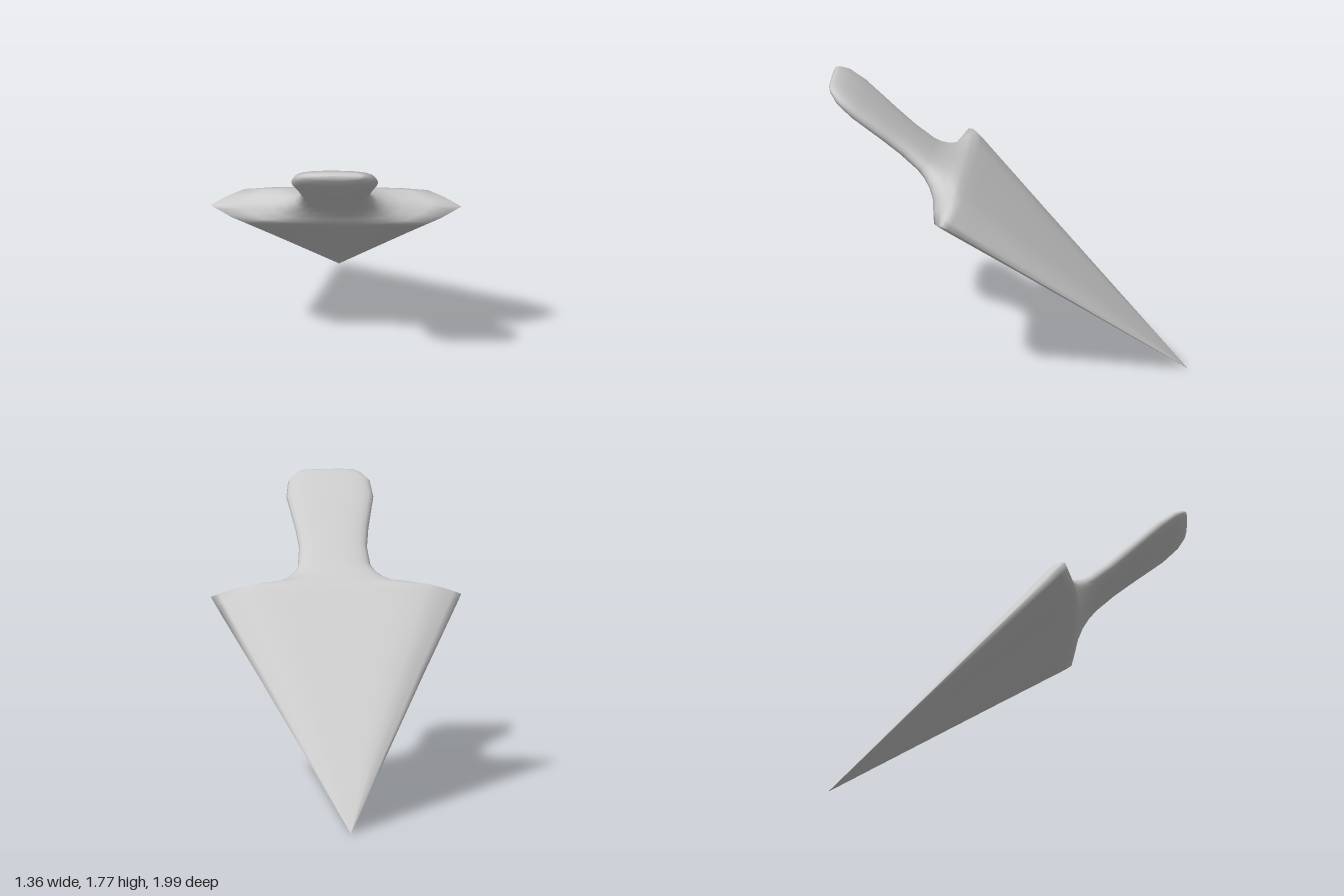
import * as THREE from 'three';

// Half cross-sections as [fraction of half width, fraction of half thickness]
const BLADE = [[1, 0], [0.94, 0.23], [0.86, 0.52], [0.73, 0.87], [0.5, 0.97], [0.25, 0.99], [0, 1]];
const GRIP = [[1, 0], [0.97, 0.32], [0.9, 0.56], [0.77, 0.78], [0.53, 0.93], [0.25, 0.99], [0, 1]];

// Mirrors a half cross-section into a closed ring running from +x towards +z
function ring(y, halfWidth, halfDepth, round) {
  const quarter = BLADE.map(([s, t], i) => [
    halfWidth * THREE.MathUtils.lerp(s, GRIP[i][0], round),
    halfDepth * THREE.MathUtils.lerp(t, GRIP[i][1], round),
  ]);
  const n = quarter.length - 1;
  const points = [];
  for (let i = 0; i < 4 * n; i++) {
    const q = Math.floor(i / n), k = i % n;
    const [x, z] = quarter[q % 2 ? n - k : k];
    points.push(new THREE.Vector3(q === 1 || q === 2 ? -x : x, y, q < 2 ? z : -z));
  }
  return points;
}

// Skins a stack of rings, listed from bottom to top
function loft(rings) {
  const count = rings[0].length;
  const positions = rings.flat().flatMap((p) => [p.x, p.y, p.z]);
  const index = [];
  for (let r = 0; r < rings.length - 1; r++) {
    for (let i = 0; i < count; i++) {
      const a = r * count + i, b = r * count + (i + 1) % count;
      index.push(a, a + count, b, b, a + count, b + count);
    }
  }
  const geometry = new THREE.BufferGeometry();
  geometry.setAttribute('position', new THREE.Float32BufferAttribute(positions, 3));
  geometry.setIndex(index);
  geometry.computeVertexNormals();
  return geometry;
}

export function createModel() {
  const grey = new THREE.MeshStandardMaterial({ color: 0xcccccc });
  grey.name = 'plain grey';

  // Height, half width, half thickness, roundness: tip, shoulder, neck, grip end
  const sections = [
    [-1.79, 0.002, 0.001, 0],
    [-1.2, 0.242, 0.039, 0],
    [-0.6, 0.487, 0.078, 0],
    [-0.14, 0.68, 0.108, 0],
    [-0.05, 0.717, 0.114, 0],
    [0, 0.737, 0.113, 0],
    [0.03, 0.56, 0.106, 0.2],
    [0.06, 0.4, 0.094, 0.6],
    [0.11, 0.3, 0.078, 1],
    [0.165, 0.244, 0.066, 1],
    [0.22, 0.214, 0.06, 1],
    [0.36, 0.2, 0.056, 1],
    [0.5, 0.215, 0.056, 1],
    [0.74, 0.256, 0.056, 1],
    [0.86, 0.24, 0.046, 1],
    [0.92, 0.19, 0.03, 1],
    [0.94, 0.16, 0.016, 1],
    [0.945, 0.001, 0.001, 1],
  ];
  const arrowhead = new THREE.Mesh(loft(sections.map((s) => ring(...s))), grey);
  arrowhead.name = 'bladeWithStem';

  // Lean the blade: tip down at the back, stem up at the front
  const across = new THREE.Vector3(0.922, 0, -0.387).normalize();
  const along = new THREE.Vector3(0.296, 0.643, 0.707).normalize();
  const facing = new THREE.Vector3().crossVectors(across, along).normalize();
  arrowhead.quaternion.setFromRotationMatrix(new THREE.Matrix4().makeBasis(across, along, facing));
  arrowhead.position.set(0, 1.155, 0.265);

  const group = new THREE.Group();
  group.name = 'arrowhead';
  group.add(arrowhead);
  return group;
}
